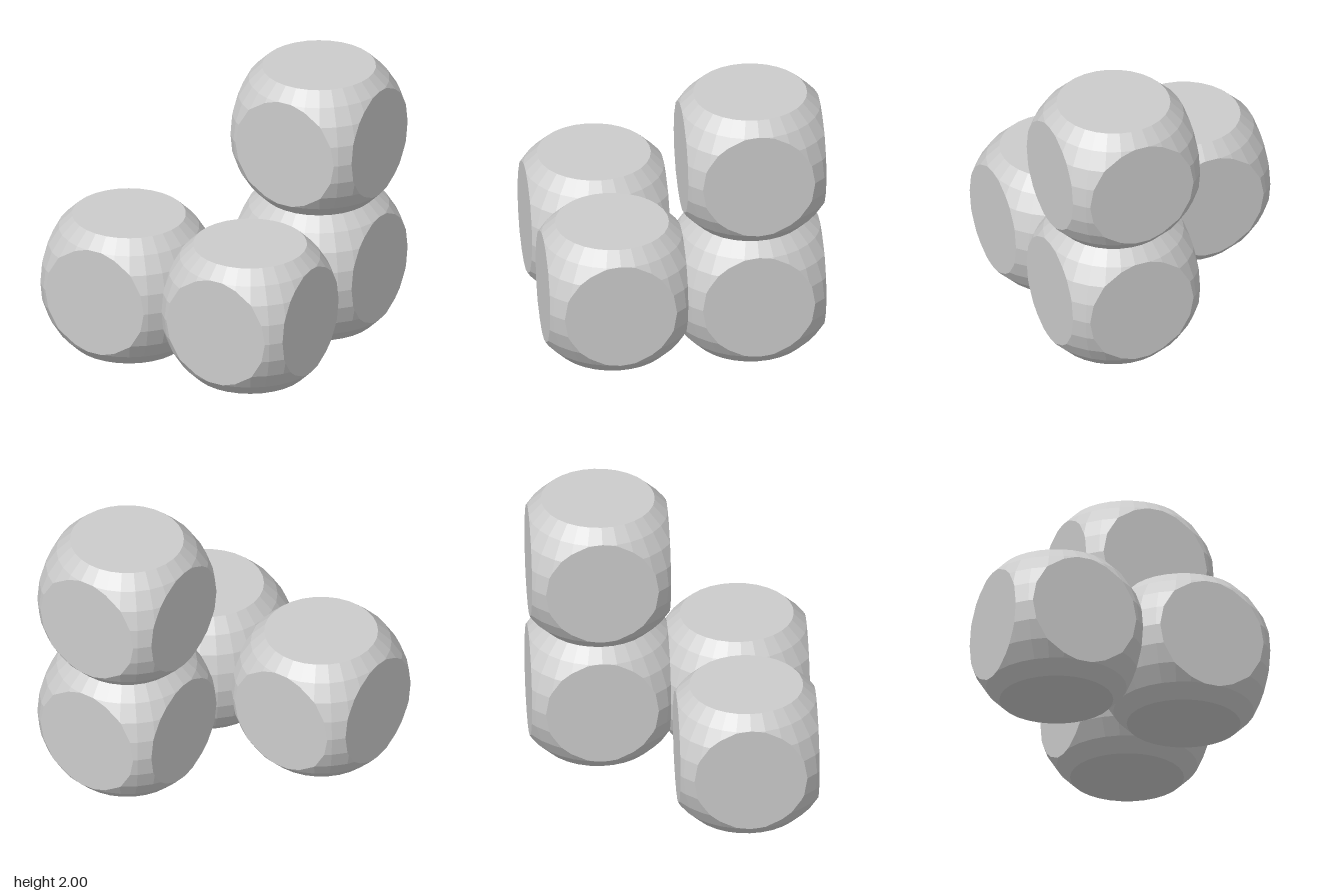
import * as THREE from 'three';

const RADIUS = 0.647, HALF = 0.5;
const AXES = ['x', 'y', 'z'];

// Keep the part of a polygon where sign * p[axis] <= HALF
function clip(poly, axis, sign) {
  const out = [];
  poly.forEach((p, i) => {
    const q = poly[(i + 1) % poly.length];
    const dp = sign * p[axis] - HALF, dq = sign * q[axis] - HALF;
    if (dp <= 0) out.push(p);
    if (dp * dq < 0) {
      const cut = p.clone().lerp(q, dp / (dp - dq));
      cut[axis] = sign * HALF;
      out.push(cut);
    }
  });
  return out;
}

// Faceted sphere cut flat by the six faces of a unit cube
function cutBallGeometry() {
  const source = new THREE.SphereGeometry(RADIUS, 30, 14).toNonIndexed().attributes.position;
  const positions = [], rims = {};
  const addTriangle = (...pts) => pts.forEach((p) => positions.push(p.x, p.y, p.z));

  // Rounded skin
  for (let i = 0; i < source.count; i += 3) {
    let poly = [0, 1, 2].map((k) => new THREE.Vector3().fromBufferAttribute(source, i + k));
    for (const axis of AXES) for (const sign of [1, -1]) poly = clip(poly, axis, sign);
    for (let k = 1; k < poly.length - 1; k++) addTriangle(poly[0], poly[k], poly[k + 1]);
    for (const p of poly) for (const axis of AXES) {
      if (Math.abs(Math.abs(p[axis]) - HALF) < 1e-9) (rims[axis + Math.sign(p[axis])] ??= []).push(p);
    }
  }

  // Flat round faces, fanned from their centres
  AXES.forEach((axis, a) => {
    const u = AXES[(a + 1) % 3], v = AXES[(a + 2) % 3];
    for (const sign of [1, -1]) {
      const centre = new THREE.Vector3();
      centre[axis] = sign * HALF;
      const rim = rims[axis + sign]
        .sort((p, q) => sign * (Math.atan2(p[v], p[u]) - Math.atan2(q[v], q[u])))
        .filter((p, i, all) => i === 0 || p.distanceTo(all[i - 1]) > 1e-6);
      rim.forEach((p, i) => addTriangle(centre, p, rim[(i + 1) % rim.length]));
    }
  });

  const geometry = new THREE.BufferGeometry();
  geometry.setAttribute('position', new THREE.Float32BufferAttribute(positions, 3));
  geometry.computeVertexNormals();
  return geometry;
}

export function createModel() {
  const group = new THREE.Group();
  group.name = 'puzzlePiece';
  const geometry = cutBallGeometry();
  const material = new THREE.MeshStandardMaterial({ color: 0xcccccc, flatShading: true });

  // Four balls joined along their flat faces
  const balls = {
    frontRightBall: [-0.5, 0.5, 0.5],
    frontLeftBall: [0.5, 0.5, 0.5],
    backLowerBall: [0.5, 0.5, -0.5],
    backUpperBall: [0.5, 1.5, -0.5],
  };
  for (const [name, position] of Object.entries(balls)) {
    const ball = new THREE.Mesh(geometry, material);
    ball.name = name;
    ball.position.set(...position);
    group.add(ball);
  }
  return group;
}
